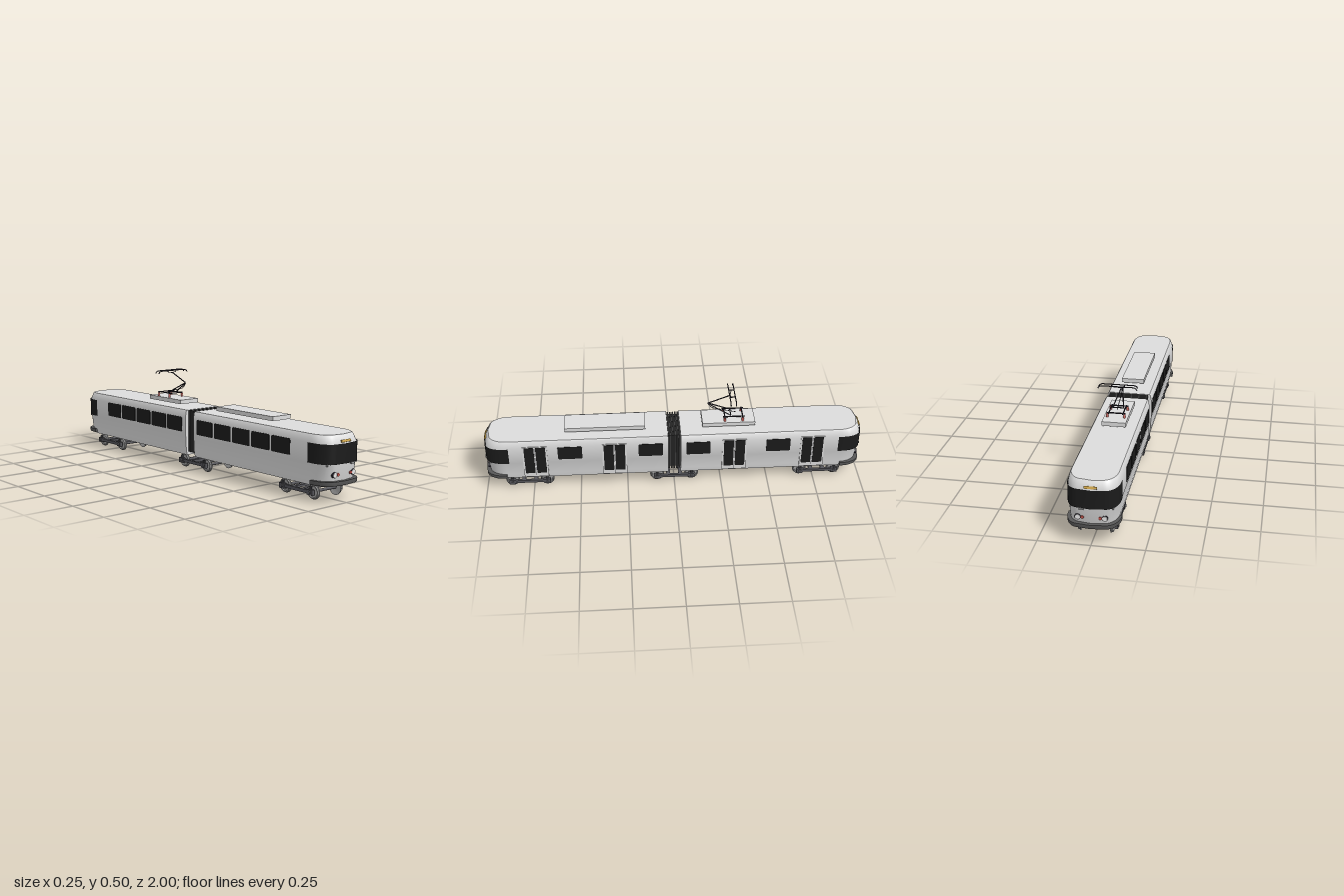
import * as THREE from 'three';
import { toCreasedNormals } from 'three/addons/utils/BufferGeometryUtils.js';

const paint = (name, color, side = THREE.FrontSide) => {
  const m = new THREE.MeshStandardMaterial({ color, side });
  m.name = name;
  return m;
};

export function createModel() {
  const tram = new THREE.Group();
  tram.name = 'articulatedTram';
  const body = paint('bodyLightGrey', 0xdcdcdc);
  const glass = paint('blackGlass', 0x1b1b1b, THREE.DoubleSide);
  const bumperGrey = paint('bumperGrey', 0x585858);
  const rubber = paint('bellowsGrey', 0x3c3c3c);
  const iron = paint('bogieGrey', 0x55555a);
  const steel = paint('wheelSteel', 0xa2a2a2);
  const black = paint('pantographBlack', 0x231f29);
  const red = paint('red', 0xc4554c);
  const amber = paint('signAmber', 0xc9a043);
  const lamp = paint('lampWhite', 0xe8e8e8);

  const add = (parent, name, geo, mat, x = 0, y = 0, z = 0) => {
    const m = new THREE.Mesh(geo, mat);
    m.name = name;
    m.position.set(x, y, z);
    parent.add(m);
    return m;
  };
  const box = (parent, name, mat, w, h, d, x, y, z) =>
    add(parent, name, new THREE.BoxGeometry(w, h, d), mat, x, y, z);
  const rod = (parent, name, mat, r, ...pts) => {
    const path = new THREE.CurvePath();
    const v = pts.map((p) => new THREE.Vector3(...p));
    for (let i = 1; i < v.length; i++) path.add(new THREE.LineCurve3(v[i - 1], v[i]));
    return add(parent, name, new THREE.TubeGeometry(path, (v.length - 1) * 4, r, 8), mat);
  };

  // Plan outline of a car: straight sides and a rounded nose
  const outline = (w, nose, back) => {
    const pts = [[w, back]];
    const rx = 0.062, rz = 0.095, bow = 0.008;
    for (let i = 0; i <= 10; i++) {
      const a = (i / 10) * Math.PI / 2;
      pts.push([w - rx + rx * Math.cos(a), nose - bow - rz + rz * Math.sin(a)]);
    }
    pts.push([0, nose]);
    return pts.concat(pts.slice(0, -1).reverse().map(([x, z]) => [-x, z]));
  };

  // Stack outlines given as [y, half width, nose z]
  const loft = (levels, back, closed = true) => {
    const rings = levels.map(([y, w, nose]) => outline(w, nose, back).map(([x, z]) => [x, y, z]));
    const n = rings[0].length, idx = [];
    for (let j = 0; j < rings.length - 1; j++) {
      for (let i = 0; i < (closed ? n : n - 1); i++) {
        const k = (i + 1) % n, a = j * n + i, b = j * n + k, d = a + n, c = b + n;
        idx.push(a, d, b, b, d, c);
      }
    }
    if (closed) {
      const t = (rings.length - 1) * n;
      for (let i = 1; i < n - 1; i++) idx.push(0, i, i + 1, t, t + i + 1, t + i);
    }
    const g = new THREE.BufferGeometry();
    g.setAttribute('position', new THREE.Float32BufferAttribute(rings.flat(2), 3));
    g.setIndex(idx);
    return toCreasedNormals(g, 0.6);
  };

  // Both cars: shell, wrapped windscreen, bumper and lights
  for (const rear of [false, true]) {
    const car = new THREE.Group();
    car.name = rear ? 'rearCar' : 'frontCar';
    car.rotation.y = rear ? Math.PI : 0;
    tram.add(car);
    add(car, 'carBody', loft([[0.08, 0.109, 0.972], [0.11, 0.114, 0.983], [0.182, 0.118, 0.992],
      [0.186, 0.12, 0.993], [0.281, 0.12, 0.993], [0.314, 0.1135, 0.978], [0.32, 0.109, 0.972]], 0.033), body);
    add(car, 'windscreen', loft([[0.187, 0.1225, 0.997], [0.281, 0.1225, 0.997]], 0.865, false), glass);
    add(car, 'bumper', loft([[0.087, 0.124, 0.998], [0.091, 0.125, 1], [0.107, 0.125, 1]], 0.885), bumperGrey);
    const sign = box(car, 'destinationSign', amber, 0.06, 0.012, 0.008, 0, 0.291, 0.988);
    sign.rotation.x = -0.43;
    for (const s of [-1, 1]) {
      const disc = (name, r, mat, x, z) => {
        const m = add(car, name, new THREE.CylinderGeometry(r, r, 0.012, 24), mat, s * x, 0.137, z);
        m.rotation.x = Math.PI / 2;
      };
      disc('headlightRim', 0.014, black, 0.062, 0.977);
      disc('headlight', 0.012, lamp, 0.062, 0.979);
      disc('tailLight', 0.0075, red, 0.041, 0.98);
      box(car, 'windscreenClip', steel, 0.004, 0.012, 0.01, s * 0.098, 0.184, 0.965);
    }
    box(car, 'wiperMount', steel, 0.02, 0.009, 0.01, rear ? -0.043 : 0.043, 0.184, 0.991);
  }

  // Rounded plate lying on the side of the cars
  const plate = (name, mat, side, z, y0, y1, w, r, x, depth) => {
    const h = y1 - y0, a = w / 2, s = new THREE.Shape();
    s.moveTo(-a + r, 0).lineTo(a - r, 0).quadraticCurveTo(a, 0, a, r);
    s.lineTo(a, h - r).quadraticCurveTo(a, h, a - r, h);
    s.lineTo(-a + r, h).quadraticCurveTo(-a, h, -a, h - r);
    s.lineTo(-a, r).quadraticCurveTo(-a, 0, -a + r, 0);
    const g = new THREE.ExtrudeGeometry(s, { depth, bevelEnabled: false, curveSegments: 4 });
    add(tram, name, g, mat, side * x, y0, z).rotation.y = side * Math.PI / 2;
  };
  for (const e of [-1, 1]) {
    for (let i = 0; i < 5; i++) {
      const z = e * (0.125 + 0.1405 * i);
      plate('leftOrRightWindow', glass, -1, z, 0.203, 0.281, 0.127, 0.008, 0.119, 0.003);
      if (i % 3 === 0) plate('sideWindow', glass, 1, z, 0.203, 0.281, 0.127, 0.008, 0.119, 0.003);
    }
    // Double doors on the left side only
    for (const z of [0.315, 0.729]) {
      plate('doorPanel', body, 1, e * z, 0.093, 0.289, 0.128, 0.002, 0.1135, 0.0085);
      for (const s of [-1, 1]) {
        plate('doorWindow', glass, 1, e * z + s * 0.03, 0.118, 0.285, 0.051, 0.006, 0.1215, 0.002);
      }
      box(tram, 'doorSeam', iron, 0.001, 0.19, 0.002, 0.122, 0.19, e * z);
    }
  }

  // Bellows between the cars
  box(tram, 'bellowsCore', rubber, 0.186, 0.205, 0.07, 0, 0.208, 0);
  for (let i = -2; i <= 2; i++) box(tram, 'bellowsRib', rubber, 0.204, 0.222, 0.008, 0, 0.208, i * 0.0135);

  // Roof equipment
  box(tram, 'frontRoofUnit', body, 0.12, 0.022, 0.42, 0, 0.344, 0.36);
  box(tram, 'rearRoofUnit', body, 0.12, 0.022, 0.277, 0, 0.344, -0.288);

  // Pantograph
  const panto = new THREE.Group();
  panto.name = 'pantograph';
  tram.add(panto);
  for (const s of [-1, 1]) {
    for (const z of [-0.268, -0.362]) {
      for (let i = 0; i < 3; i++) {
        add(panto, 'insulator', new THREE.CylinderGeometry(0.004, 0.0065, 0.006, 14), red, s * 0.043, 0.358 + i * 0.0065, z);
      }
    }
    box(panto, 'baseRail', black, 0.005, 0.005, 0.115, s * 0.036, 0.377, -0.315);
    rod(panto, 'lowerArm', black, 0.003, [s * 0.028, 0.378, -0.3], [s * 0.003, 0.441, -0.182]);
    rod(panto, 'headBracket', black, 0.002, [0, 0.487, -0.295], [s * 0.026, 0.491, -0.302], [s * 0.032, 0.499, -0.305]);
    box(panto, 'headLink', black, 0.004, 0.004, 0.034, s * 0.032, 0.498, -0.305);
  }
  for (const z of [-0.268, -0.362]) box(panto, 'baseCrossbar', black, 0.094, 0.005, 0.006, 0, 0.377, z);
  rod(panto, 'pivotShaft', black, 0.003, [-0.032, 0.38, -0.3], [0.032, 0.38, -0.3]);
  rod(panto, 'controlRod', black, 0.0018, [0, 0.38, -0.33], [0, 0.412, -0.2], [0, 0.441, -0.18]);
  rod(panto, 'upperArm', black, 0.003, [0, 0.442, -0.18], [0, 0.488, -0.297]);
  for (const z of [-0.291, -0.319]) {
    rod(panto, 'contactBar', black, 0.0028, [-0.098, 0.487, z], [-0.09, 0.498, z], [-0.08, 0.5, z],
      [0.08, 0.5, z], [0.09, 0.498, z], [0.098, 0.487, z]);
  }

  // Bogies: wheels, axles, side frames, springs and crossbeams
  const wheelProfile = [[0, -0.004], [0.027, -0.004], [0.031, -0.006], [0.037, -0.006], [0.037, -0.003],
    [0.034, -0.001], [0.033, 0.006], [0.028, 0.006], [0.026, 0.001], [0, 0.001]]
    .map(([r, y]) => new THREE.Vector2(r, y));
  const wheelGeo = toCreasedNormals(new THREE.LatheGeometry(wheelProfile, 32), 0.5);
  for (const zc of [0.771, 0, -0.771]) {
    const bogie = new THREE.Group();
    bogie.name = 'bogie';
    bogie.position.z = zc;
    tram.add(bogie);
    for (const e of [-1, 1]) {
      const z = e * 0.092;
      rod(bogie, 'axle', iron, 0.0075, [-0.105, 0.041, z], [0.105, 0.041, z]);
      box(bogie, 'crossbeam', iron, 0.19, 0.012, 0.02, 0, 0.043, e * 0.032);
      for (const s of [-1, 1]) {
        add(bogie, 'wheel', wheelGeo, steel, s * 0.076, 0.04, z).rotation.z = -s * Math.PI / 2;
        box(bogie, 'axleBox', iron, 0.016, 0.026, 0.034, s * 0.095, 0.041, z);
        rod(bogie, 'axleCap', steel, 0.007, [s * 0.102, 0.041, z], [s * 0.108, 0.041, z]);
        for (let i = 0; i < 3; i++) {
          const coil = add(bogie, 'spring', new THREE.TorusGeometry(0.006, 0.0016, 6, 16), iron, s * 0.095, 0.057 + i * 0.005, z);
          coil.rotation.x = Math.PI / 2;
        }
      }
    }
    for (const s of [-1, 1]) box(bogie, 'sideFrame', iron, 0.012, 0.016, 0.17, s * 0.095, 0.042, 0);
  }
  return tram;
}
